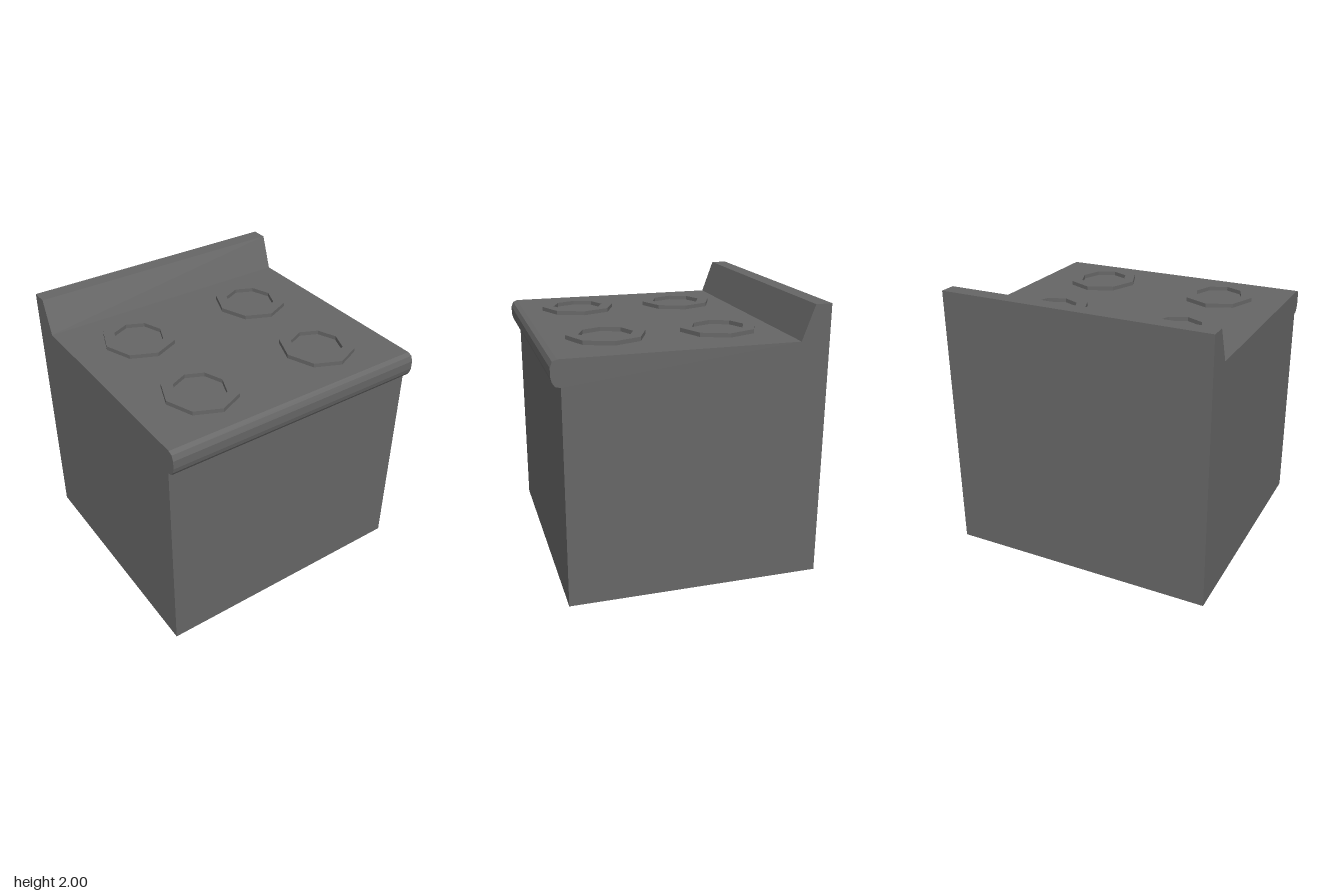
import * as THREE from 'three';

export function createModel() {
  const group = new THREE.Group();
  const grey = new THREE.MeshStandardMaterial({ color: 0x666666 });
  grey.name = 'dark grey enamel';

  // Cabinet, rounded front lip and sloped backsplash: one side profile (z, y) swept across x
  const profile = [
    [-0.953, 0], [0.888, 0], [0.888, 1.565], [0.925, 1.575], [0.945, 1.605], [0.953, 1.64],
    [0.953, 1.7], [0.938, 1.738], [0.905, 1.752], [-0.745, 1.752], [-0.835, 2], [-0.953, 2],
  ].map(([z, y]) => new THREE.Vector2(z, y));
  const bodyGeometry = new THREE.ExtrudeGeometry(new THREE.Shape(profile), { depth: 2, bevelEnabled: false });
  bodyGeometry.rotateY(-Math.PI / 2).translate(1, 0, 0);
  const body = new THREE.Mesh(bodyGeometry, grey);
  body.name = 'stoveBody';
  group.add(body);

  // Octagonal burner ring, slightly longer from front to back
  const octagon = (rx, rz) => Array.from({ length: 8 }, (_, i) => {
    const a = (i * Math.PI) / 4;
    return new THREE.Vector2(rx * Math.cos(a), rz * Math.sin(a));
  });
  const ring = new THREE.Shape(octagon(0.263, 0.281));
  ring.holes.push(new THREE.Path(octagon(0.18, 0.193)));
  const ringGeometry = new THREE.ExtrudeGeometry(ring, { depth: 0.04, bevelEnabled: false });
  ringGeometry.rotateX(-Math.PI / 2);

  for (const [side, x] of [['Left', 0.5], ['Right', -0.5]]) {
    for (const [end, z] of [['front', 0.483], ['back', -0.333]]) {
      const burner = new THREE.Mesh(ringGeometry, grey);
      burner.name = `${end}${side}Burner`;
      burner.position.set(x, 1.742, z);
      group.add(burner);
    }
  }
  return group;
}
